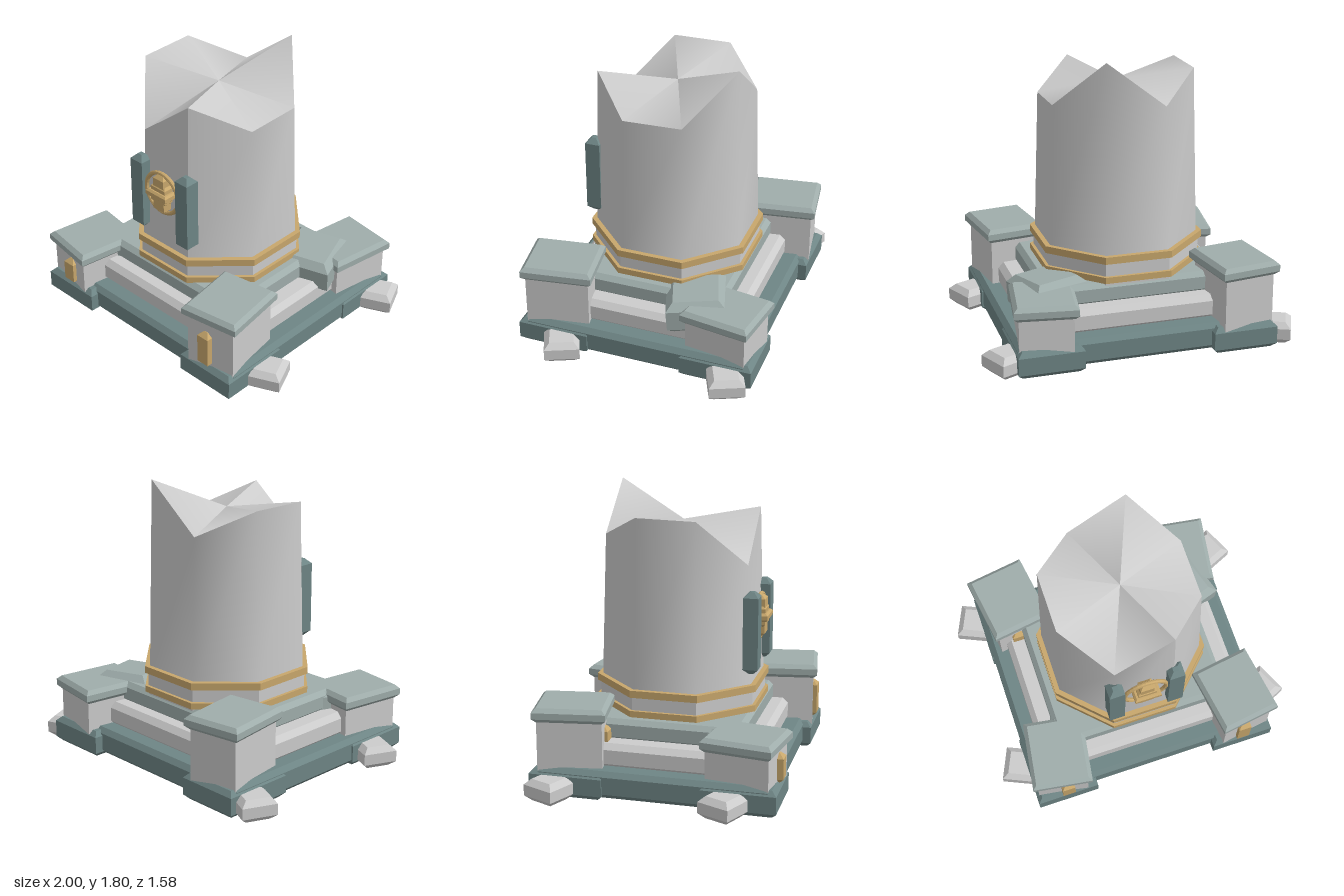
import * as THREE from 'three';

const material = (color, flat = true) =>
  new THREE.MeshStandardMaterial({ color, flatShading: flat });
const STONE = material(0xcccccc);
const COLUMN = material(0xcccccc, false);
const DARK = material(0x6e8585);
const PALE = material(0x9fadab);
const GOLD = material(0xc8a76c);

// Box whose top and bottom rims are chamfered by b, centred on its origin
function slab(w, h, d, b) {
  const x = w / 2 - b, z = d / 2 - b;
  const shape = new THREE.Shape([
    new THREE.Vector2(-x, -z), new THREE.Vector2(x, -z),
    new THREE.Vector2(x, z), new THREE.Vector2(-x, z)]);
  const geometry = new THREE.ExtrudeGeometry(shape, {
    depth: h - 2 * b, bevelEnabled: true, bevelSize: b, bevelThickness: b, bevelSegments: 1 });
  geometry.translate(0, 0, b - h / 2);
  return geometry.rotateX(-Math.PI / 2);
}

// Octagonal drum with flat sides facing the axes; r is measured to the flats
function octagon(rTop, rBottom, h) {
  const k = 1 / Math.cos(Math.PI / 8);
  return new THREE.CylinderGeometry(rTop * k, rBottom * k, h, 8, 1, false, Math.PI / 8);
}

export function createModel() {
  const model = new THREE.Group();
  const add = (name, geometry, mat, x, y, z, rotY = 0) => {
    const mesh = new THREE.Mesh(geometry, mat);
    mesh.name = name;
    mesh.position.set(x, y, z);
    mesh.rotation.y = rotY;
    model.add(mesh);
    return mesh;
  };

  // Stepped plinth
  add('baseSlab', slab(1.62, 0.17, 1.42, 0.03), DARK, 0, 0.105, 0);
  add('lowerStep', slab(1.4, 0.16, 1.2, 0.035), STONE, 0, 0.25, 0);
  add('upperStep', slab(1.16, 0.14, 1.0, 0.03), PALE, 0, 0.38, 0);

  // Corner pedestals, alternately tall and short, with rubble beside each
  for (const sx of [-1, 1]) {
    for (const sz of [-1, 1]) {
      const top = sx * sz > 0 ? 0.565 : 0.45;
      const turn = sx * sz * 0.15;
      const x = sx * 0.61, z = sz * 0.54;
      const bodyTop = top - 0.07;
      add('cornerFoot', slab(0.41, 0.17, 0.46, 0.03), DARK, sx * 0.615, 0.09, sz * 0.535);
      add('pedestal', new THREE.BoxGeometry(0.33, bodyTop - 0.12, 0.4), STONE,
        x, (bodyTop + 0.12) / 2, z, turn);
      add('pedestalCap', slab(0.39, 0.09, 0.45, 0.025), PALE, x, top - 0.045, z, turn);
      const stripHeight = top > 0.5 ? 0.255 : 0.19;
      add('pedestalInlay', slab(0.085, stripHeight, 0.08, 0.03), GOLD,
        x, top > 0.5 ? 0.295 : 0.255, z + (sz > 0 ? 0.195 : 0.19));
      add('rubble', slab(0.21, 0.14, 0.22, 0.035), STONE,
        sx * 0.86, 0.075, sz > 0 ? 0.457 : -0.62, sx * 0.42);
    }
  }

  // Fallen blocks lying on the steps
  const block = add('fallenBlock', slab(0.36, 0.22, 0.37, 0.045), PALE, 0.53, 0.365, -0.32, 0.32);
  block.rotation.x = 0.08;
  block.rotation.z = -0.05;
  add('smallFallenBlock', slab(0.22, 0.15, 0.22, 0.03), PALE, -0.49, 0.365, 0.36, -0.35);

  // Collar and gilt bands
  add('collar', octagon(0.49, 0.49, 0.27), STONE, 0, 0.465, 0);
  add('lowerBand', octagon(0.51, 0.51, 0.04), GOLD, 0, 0.47, 0);
  add('upperBand', octagon(0.51, 0.51, 0.045), GOLD, 0, 0.598, 0);

  // Broken column: top corners raised or lowered, counter-clockwise from front right
  const heights = [1.665, 1.5, 1.51, 1.81, 1.52, 1.68, 1.675, 1.37];
  const shaft = octagon(0.45, 0.48, 1);
  const p = shaft.attributes.position;
  for (let i = 0; i < p.count; i++) {
    if (p.getY(i) < 0) { p.setY(i, 0.58); continue; }
    const x = p.getX(i), z = p.getZ(i);
    if (Math.hypot(x, z) < 0.01) { p.setY(i, 1.6); continue; }
    const corner = Math.round((Math.atan2(x, z) - Math.PI / 8) / (Math.PI / 4));
    p.setY(i, heights[(corner + 8) % 8]);
  }
  shaft.computeVertexNormals();
  add('brokenColumn', shaft, COLUMN, 0, 0, 0);

  // Front pilasters and emblem
  for (const s of [-1, 1]) {
    add('pilaster', slab(0.1, 0.52, 0.095, 0.033), DARK, s * 0.193, 0.95, 0.48);
  }
  add('emblemRing', new THREE.TorusGeometry(0.136, 0.014, 8, 32), GOLD, 0, 1.015, 0.495);
  add('emblemUpright', slab(0.09, 0.27, 0.07, 0.025), GOLD, 0, 1.015, 0.495);
  add('emblemCore', slab(0.12, 0.17, 0.08, 0.035), GOLD, 0, 1.015, 0.495);
  add('emblemCrossbar', slab(0.17, 0.05, 0.1, 0.012), GOLD, 0, 1.015, 0.505);

  return model;
}
